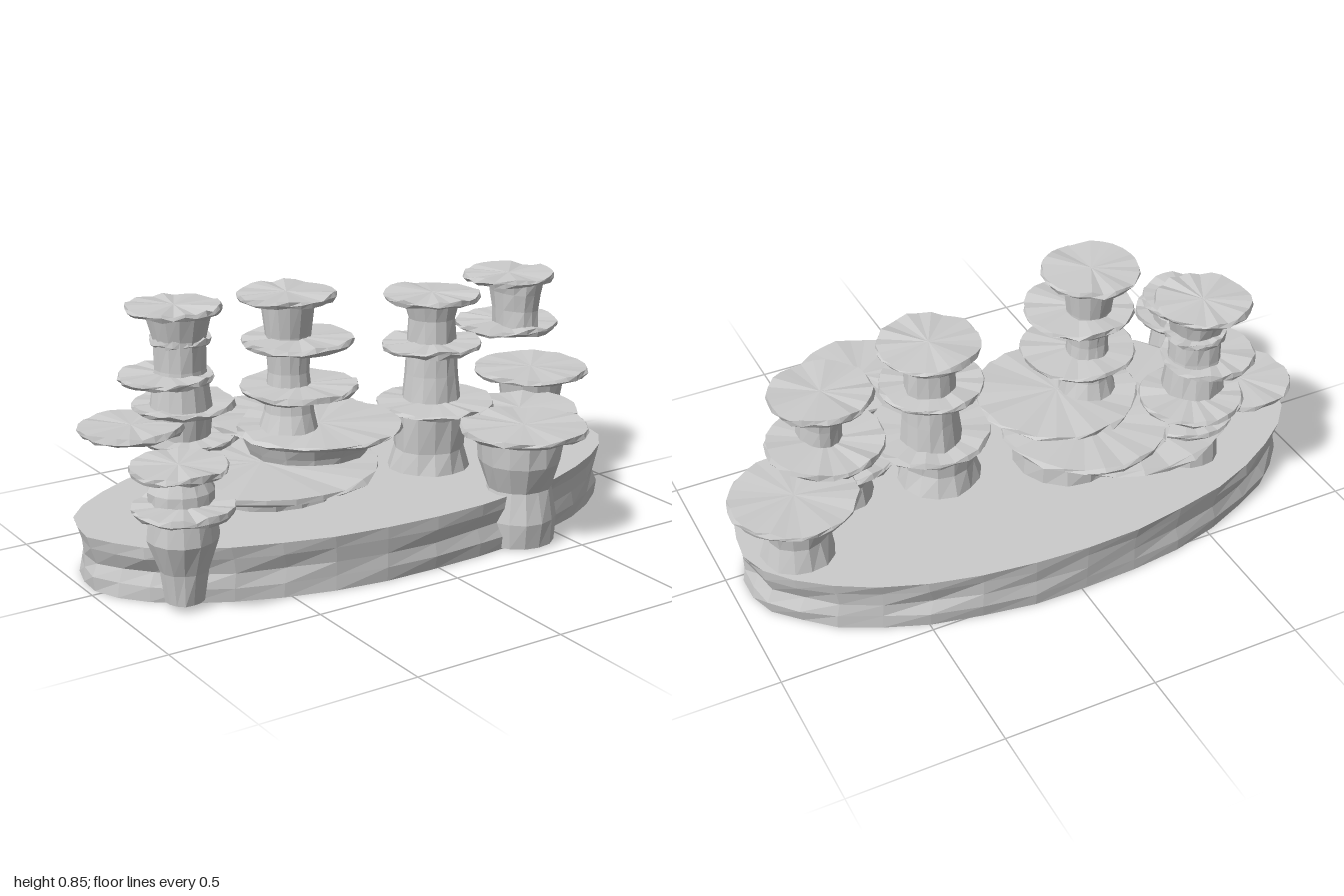
import * as THREE from 'three';

const material = new THREE.MeshStandardMaterial({ color: 0xcccccc, flatShading: true });

// Small seeded generator, for weathered edges
let seed = 7;
function jitter(amount) {
  seed = (seed * 16807) % 2147483647;
  return (seed / 2147483647 * 2 - 1) * amount;
}

// Closed solid through rings [y, rx, rz, radial roughness, vertical roughness], bottom to top
function loft(name, x, z, sides, rings) {
  const pos = [], index = [];
  pos.push(0, rings[0][0], 0);
  rings.forEach(([y, rx, rz, rough, wave]) => {
    for (let i = 0; i < sides; i++) {
      const a = i / sides * Math.PI * 2, k = 1 + jitter(rough);
      pos.push(Math.sin(a) * rx * k, y + jitter(wave), Math.cos(a) * rz * k);
    }
  });
  const top = pos.length / 3;
  pos.push(0, rings[rings.length - 1][0], 0);
  const last = (rings.length - 1) * sides + 1;
  for (let i = 0; i < sides; i++) {
    const j = (i + 1) % sides;
    index.push(0, 1 + j, 1 + i, top, last + i, last + j);
    for (let r = 0; r < rings.length - 1; r++) {
      const p = 1 + r * sides, q = p + sides;
      index.push(p + i, p + j, q + j, p + i, q + j, q + i);
    }
  }
  const indexed = new THREE.BufferGeometry();
  indexed.setAttribute('position', new THREE.Float32BufferAttribute(pos, 3));
  indexed.setIndex(index);
  const geometry = indexed.toNonIndexed();
  geometry.computeVertexNormals();
  const mesh = new THREE.Mesh(geometry, material);
  mesh.name = name;
  mesh.position.set(x, 0, z);
  return mesh;
}

// Thin ragged disc; y is the height of its top
function cap(x, z, y, r) {
  return loft('cap', x, z, 26, [
    [y - 0.022, r * 0.94, r * 0.94, 0.03, 0.005],
    [y - 0.012, r * 0.99, r * 0.99, 0.025, 0.006],
    [y, r * 0.97, r * 0.97, 0.025, 0.007],
  ]);
}

// Faceted column; profile is [y, r] from bottom to top, depth stretches it along z
function trunk(x, z, profile, depth = 1) {
  return loft('trunk', x, z, 14, profile.map(([y, r]) => [y, r, r * depth, 0.04, 0]));
}

// Each cluster: trunks [x, z, profile, depth] and caps [x, z, top, radius]
const clusters = {
  tallStack: {
    trunks: [
      [-0.27, -0.05, [[0.38, 0.1], [0.45, 0.08], [0.58, 0.066], [0.7, 0.072], [0.83, 0.088]]],
      [-0.17, -0.1, [[0.17, 0.18], [0.24, 0.18], [0.31, 0.2], [0.38, 0.23]]],
      [-0.33, -0.07, [[0.17, 0.2], [0.22, 0.2], [0.27, 0.25]]],
    ],
    caps: [
      [-0.28, -0.04, 0.84, 0.16], [-0.25, -0.02, 0.695, 0.18], [-0.25, -0.02, 0.54, 0.19],
      [-0.17, -0.03, 0.395, 0.27], [-0.18, -0.2, 0.385, 0.275], [-0.37, -0.06, 0.29, 0.385],
    ],
  },
  rearStack: {
    trunks: [[-0.54, -0.27, [[0.17, 0.1], [0.3, 0.09], [0.45, 0.1], [0.58, 0.085], [0.68, 0.085], [0.775, 0.11]]]],
    caps: [
      [-0.55, -0.28, 0.785, 0.155], [-0.53, -0.28, 0.68, 0.1], [-0.59, -0.27, 0.57, 0.155],
      [-0.72, -0.27, 0.42, 0.17], [-0.51, -0.31, 0.455, 0.17], [-0.52, -0.26, 0.36, 0.16],
    ],
  },
  middleStack: {
    trunks: [
      [0.3, -0.07, [[0.38, 0.1], [0.48, 0.09], [0.59, 0.082], [0.67, 0.08], [0.745, 0.1]]],
      [0.25, -0.01, [[0.17, 0.14], [0.25, 0.12], [0.38, 0.13]]],
    ],
    caps: [[0.3, -0.07, 0.755, 0.165], [0.285, -0.05, 0.595, 0.17], [0.29, -0.03, 0.395, 0.2]],
  },
  lowMushroom: {
    trunks: [[0.58, 0.04, [[0.17, 0.11], [0.25, 0.1], [0.33, 0.13]]]],
    caps: [[0.57, 0.07, 0.345, 0.2]],
  },
  sideStack: {
    trunks: [
      [0.69, -0.12, [[0.57, 0.068], [0.64, 0.068], [0.7, 0.075], [0.745, 0.082]], 1.45],
      [0.8, -0.16, [[0.17, 0.12], [0.26, 0.1], [0.38, 0.12]]],
    ],
    caps: [[0.69, -0.16, 0.755, 0.16], [0.69, -0.17, 0.585, 0.185], [0.8, -0.16, 0.4, 0.205]],
  },
  leftStack: {
    trunks: [[-0.8, 0.22, [[0.02, 0.06], [0.12, 0.075], [0.22, 0.11], [0.32, 0.1], [0.37, 0.1], [0.425, 0.07]]]],
    caps: [[-0.8, 0.205, 0.44, 0.15], [-0.82, 0.27, 0.34, 0.155]],
  },
  frontMushroom: {
    trunks: [[0.36, 0.34, [[0.005, 0.115], [0.09, 0.125], [0.19, 0.105], [0.28, 0.135], [0.37, 0.14]]]],
    caps: [[0.375, 0.34, 0.39, 0.21]],
  },
};

export function createModel() {
  seed = 7;
  const model = new THREE.Group();
  model.name = 'mushroomIsland';

  // Oval rock slab with uneven courses
  model.add(loft('base', -0.015, -0.07, 34, [
    [0, 0.965, 0.475, 0.008, 0],
    [0.045, 0.97, 0.48, 0.012, 0.003],
    [0.09, 0.95, 0.472, 0.015, 0.003],
    [0.14, 0.97, 0.482, 0.012, 0.003],
    [0.18, 0.98, 0.485, 0.008, 0],
  ]));

  // Stacked mushrooms
  for (const [name, { trunks, caps }] of Object.entries(clusters)) {
    const group = new THREE.Group();
    group.name = name;
    trunks.forEach(t => group.add(trunk(...t)));
    caps.forEach(c => group.add(cap(...c)));
    model.add(group);
  }
  return model;
}
